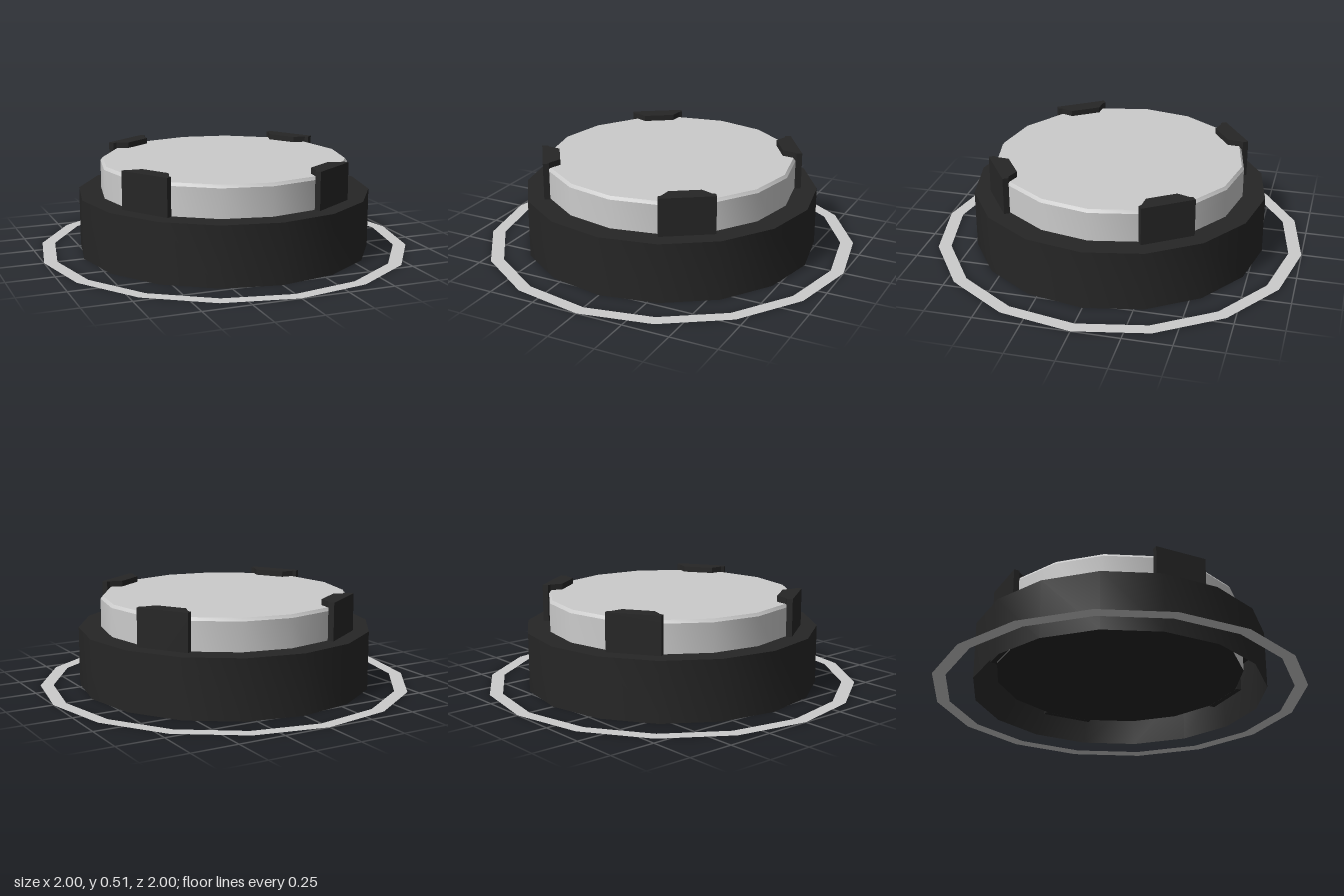
import * as THREE from 'three';
import { toCreasedNormals } from 'three/addons/utils/BufferGeometryUtils.js';

const SIDES = 16;

export function createModel() {
  const group = new THREE.Group();
  const black = new THREE.MeshStandardMaterial({ color: 0x262626, side: THREE.DoubleSide });
  const grey = new THREE.MeshStandardMaterial({ color: 0xcccccc, side: THREE.DoubleSide });

  const add = (name, geometry, material, parent = group) => {
    const mesh = new THREE.Mesh(geometry, material);
    mesh.name = name;
    parent.add(mesh);
    return mesh;
  };
  // Sixteen-sided turned part: smooth around, sharp at the rims
  const turned = (profile) => toCreasedNormals(
    new THREE.LatheGeometry(profile.map(([r, y]) => new THREE.Vector2(r, y)), SIDES), 0.6);

  // Housing: outer wall and flat top rim, open underneath
  add('housing', turned([[0.787, 0], [0.787, 0.315], [0.66, 0.315]]), black);

  // Lens with a small bevelled edge
  add('lens', turned([[0.667, 0.1], [0.667, 0.468], [0.655, 0.484], [0, 0.484]]), grey);

  // Dark plate closing the underside of the lens
  const plate = add('basePlate', new THREE.CircleGeometry(0.667, SIDES).rotateX(Math.PI / 2), black);
  plate.position.y = 0.1;

  // Thin flat ring lying around the base
  add('groundRing', new THREE.RingGeometry(0.93, 1, SIDES, 1).rotateX(-Math.PI / 2), grey);

  // Clips: upright tab with a tapered lip hooked over the lens
  const lipShape = new THREE.Shape([
    [-0.143, 0.686], [-0.143, 0.655], [-0.125, 0.648], [-0.083, 0.594],
    [0.083, 0.594], [0.125, 0.648], [0.143, 0.655], [0.143, 0.686],
  ].map(([x, z]) => new THREE.Vector2(x, z)));
  const lipGeometry = new THREE.ExtrudeGeometry(lipShape, { depth: 0.032, bevelEnabled: false })
    .rotateX(Math.PI / 2).translate(0, 0.515, 0);
  const tabGeometry = new THREE.BoxGeometry(0.286, 0.383, 0.031).translate(0, 0.2915, 0.6705);
  for (let i = 0; i < 4; i++) {
    const clip = new THREE.Group();
    clip.name = 'clip' + (i + 1);
    clip.rotation.y = THREE.MathUtils.degToRad(33.75 + 90 * i);
    add('clipTab', tabGeometry, black, clip);
    add('clipLip', lipGeometry, black, clip);
    group.add(clip);
  }
  return group;
}
